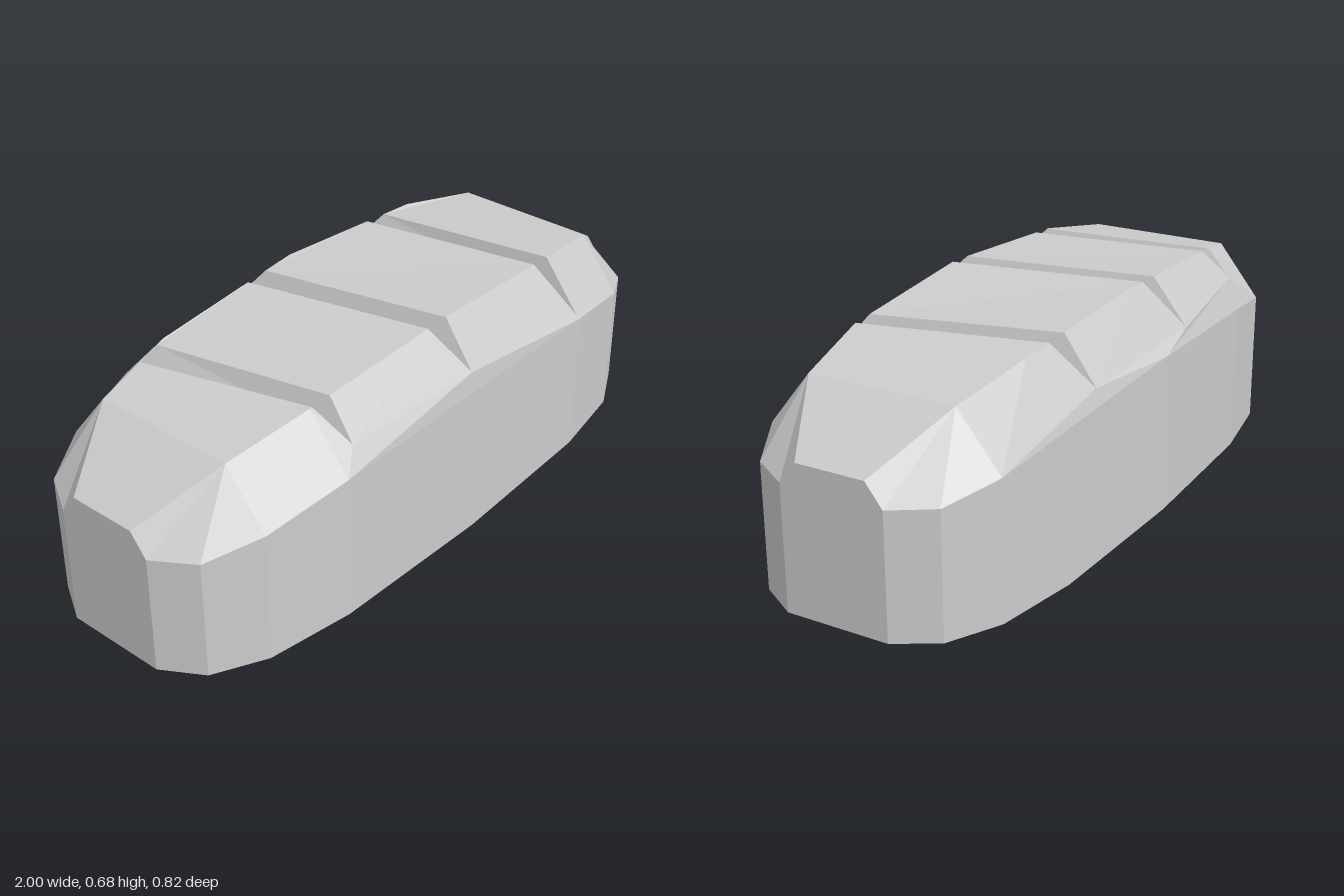
import * as THREE from 'three';

const V = (x, y, z) => new THREE.Vector3(x, y, z);
// Half-loaf stations, centre to tip: x, half width, shoulder height, floor x, floor half width
const HALF = [
  [0, 0.41, 0.508, 0, 0.32],
  [0.52, 0.392, 0.485, 0.5, 0.305],
  [0.78, 0.348, 0.44, 0.74, 0.27],
  [0.93, 0.27, 0.403, 0.87, 0.2],
  [1, 0.153, 0.4, 0.93, 0.1],
];
const STATIONS = [...HALF.slice(1).reverse().map(([x, w, h, fx, fw]) => [-x, w, h, -fx, fw]), ...HALF];
// Crown edge: |x|, height, half width
const CROWN = [[0, 0.677, 0.28], [0.52, 0.645, 0.263], [0.78, 0.6, 0.22], [1, 0.465, 0.103]];
const CROWN_X = [-1, -0.78, -0.52, 0, 0.52, 0.78, 1];
// Slashes: left and right lip x plus end point of the V floor, for the front and back edges
const SLASHES = [
  { front: [-0.51, -0.445, V(-0.46, 0.545, 0.355)], back: [-0.625, -0.55, V(-0.61, 0.55, -0.325)] },
  { front: [-0.06, 0.015, V(0, 0.55, 0.385)], back: [-0.18, -0.105, V(-0.17, 0.535, -0.385)] },
  { front: [0.45, 0.517, V(0.515, 0.495, 0.383)], back: [0.335, 0.41, V(0.345, 0.525, -0.37)] },
];

// Point on the crown edge at x, on side s
function crown(x, s) {
  const a = Math.abs(x);
  let i = 0;
  while (i < CROWN.length - 2 && a > CROWN[i + 1][0]) i++;
  const [p, q] = [CROWN[i], CROWN[i + 1]];
  const t = (a - p[0]) / (q[0] - p[0]);
  return V(x, p[1] + (q[1] - p[1]) * t, s * (p[2] + (q[2] - p[2]) * t));
}

// Collects triangles, each turned to face along a hint direction
function builder() {
  const pos = [];
  const tri = (a, b, c, hint) => {
    const n = b.clone().sub(a).cross(c.clone().sub(a));
    const order = n.dot(hint) < 0 ? [a, c, b] : [a, b, c];
    order.forEach((p) => pos.push(p.x, p.y, p.z));
  };
  return {
    fan(pts, hint) {
      for (let i = 1; i < pts.length - 1; i++) tri(pts[0], pts[i], pts[i + 1], hint);
    },
    // Fills an outline seen from above
    fill(pts, hint) {
      const flat = pts.map((p) => new THREE.Vector2(p.x, p.z));
      for (const [a, b, c] of THREE.ShapeUtils.triangulateShape(flat, [])) tri(pts[a], pts[b], pts[c], hint);
    },
    mesh(name) {
      const geo = new THREE.BufferGeometry();
      geo.setAttribute('position', new THREE.Float32BufferAttribute(pos, 3));
      geo.computeVertexNormals();
      const m = new THREE.Mesh(geo, new THREE.MeshStandardMaterial({ color: 0xcccccc, flatShading: true }));
      m.name = name;
      return m;
    },
  };
}

const shoulder = ([x, w, h], s) => V(x, h, s * w);
const skirt = ([x, w], s) => V(x, 0.04, s * w);
const floor = ([, , , fx, fw], s) => V(fx, 0, s * fw);

// Upright sides, rounded-under edge and flat base
function makeBase() {
  const b = builder();
  for (const s of [1, -1]) {
    for (let i = 0; i < STATIONS.length - 1; i++) {
      const [p, q] = [STATIONS[i], STATIONS[i + 1]];
      const out = V((p[0] + q[0]) / 2, 0, s * 0.6);
      b.fan([skirt(p, s), skirt(q, s), shoulder(q, s), shoulder(p, s)], out);
      b.fan([floor(p, s), floor(q, s), skirt(q, s), skirt(p, s)], out.clone().setY(-1));
    }
  }
  // End caps
  for (const e of [STATIONS[0], STATIONS[STATIONS.length - 1]]) {
    const out = V(e[0], 0, 0);
    b.fan([skirt(e, 1), shoulder(e, 1), crown(e[0], 1), crown(e[0], -1), shoulder(e, -1), skirt(e, -1)], out);
    b.fan([skirt(e, 1), skirt(e, -1), floor(e, -1), floor(e, 1)], V(e[0], -1, 0));
  }
  b.fan([...STATIONS.map((p) => floor(p, 1)), ...STATIONS.map((p) => floor(p, -1)).reverse()], V(0, -1, 0));
  return b.mesh('loafBase');
}

// Top crust: flat crown patches between the slashes, and sloping shoulders
function makeCrust() {
  const b = builder();
  const up = V(0, 1, 0);
  // Cuts across the crown; the end facets count as cuts of no width
  const flat = (x) => ({ front: [x, x], back: [x, x] });
  const cuts = [flat(-1), flat(-0.78), ...SLASHES, flat(0.78), flat(1)];
  const edge = (a, c, s) => {
    const k = s > 0 ? 'front' : 'back';
    const [x0, x1] = [a[k][1], c[k][0]];
    return [x0, ...CROWN_X.filter((x) => x > x0 + 1e-4 && x < x1 - 1e-4), x1].map((x) => crown(x, s));
  };
  for (let i = 0; i < cuts.length - 1; i++) {
    b.fill([...edge(cuts[i], cuts[i + 1], 1), ...edge(cuts[i], cuts[i + 1], -1).reverse()], up);
  }
  for (const s of [1, -1]) {
    // Notched long shoulder
    const upper = [];
    for (let i = 1; i < cuts.length - 2; i++) {
      upper.push(...edge(cuts[i], cuts[i + 1], s));
      const tip = cuts[i + 1][s > 0 ? 'front' : 'back'][2];
      if (tip) upper.push(tip);
    }
    const lower = STATIONS.filter(([x]) => Math.abs(x) < 0.8).map((p) => shoulder(p, s));
    b.fill([...lower, ...upper.reverse()], up);
    // Shoulder facets at the two ends
    for (const list of [STATIONS.slice(0, 3), STATIONS.slice(-3).reverse()]) {
      const e = Math.sign(list[0][0]);
      b.fan([crown(e * 0.78, s), crown(e, s), ...list.map((p) => shoulder(p, s))], up);
    }
  }
  return b.mesh('crust');
}

// The two walls of a V-shaped slash
function makeSlash({ front, back }) {
  const b = builder();
  [0, 1].forEach((k) => {
    b.fan([crown(back[k], -1), crown(front[k], 1), front[2], back[2]], V(k ? -1 : 1, 0.3, 0));
  });
  return b.mesh('slash');
}

export function createModel() {
  const loaf = new THREE.Group();
  loaf.name = 'breadLoaf';
  loaf.add(makeBase(), makeCrust(), ...SLASHES.map(makeSlash));
  return loaf;
}
